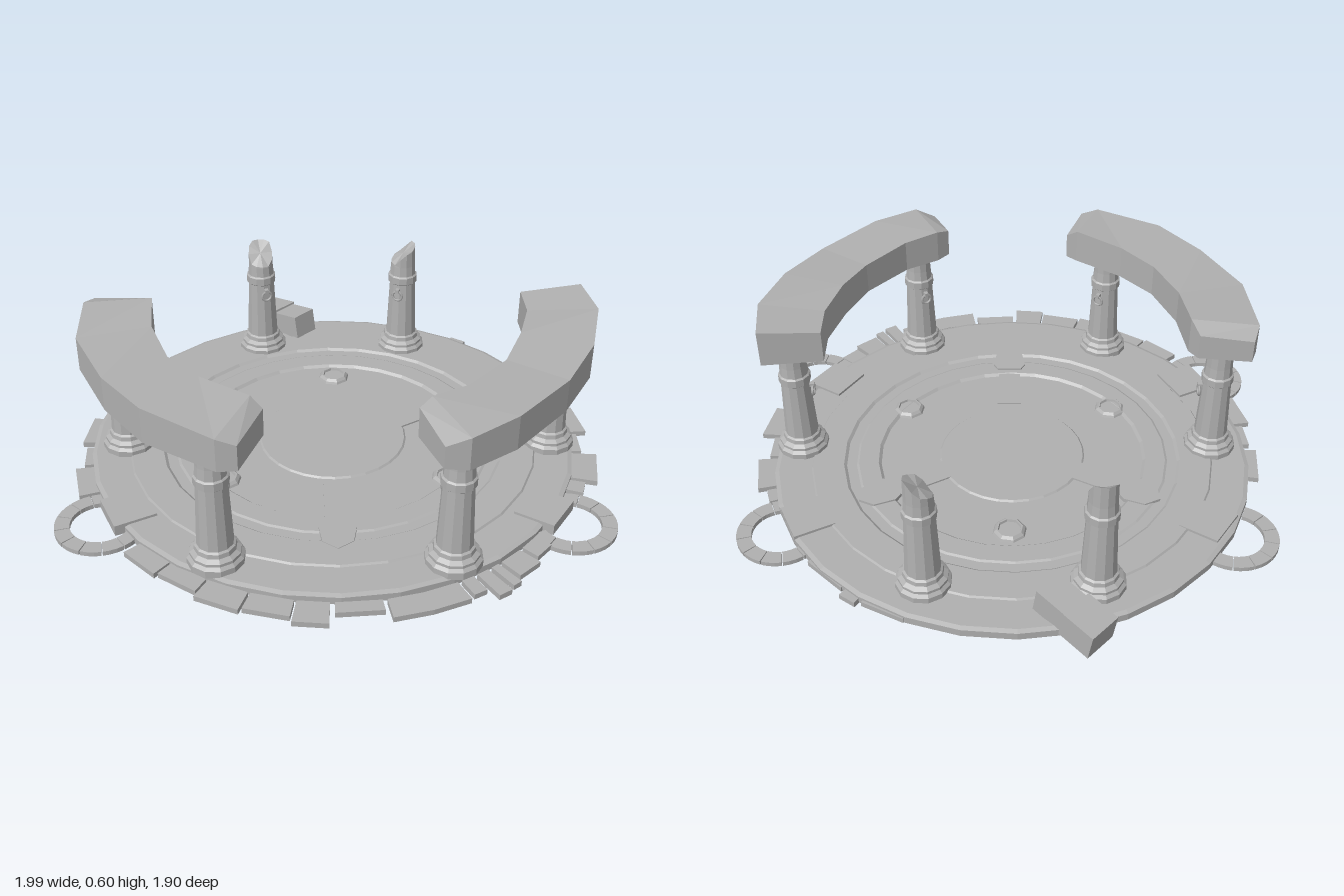
import * as THREE from 'three';
import { mergeGeometries } from 'three/addons/utils/BufferGeometryUtils.js';

const CZ = 0.04; // centre of the round floor
const rad = THREE.MathUtils.degToRad;
const stone = new THREE.MeshStandardMaterial({ color: 0xb0b0b0 });
stone.name = 'grey stone';

// Facetted copy of a geometry
function facet(geo) {
  const g = geo.index ? geo.toNonIndexed() : geo;
  g.deleteAttribute('uv');
  g.computeVertexNormals();
  return g;
}

function add(parent, name, geo) {
  const mesh = new THREE.Mesh(geo, stone);
  mesh.name = name;
  parent.add(mesh);
  return mesh;
}

// Closed curved block; each section is [degrees, inner radius, outer radius, bottom, inner top, outer top]
function arcBlock(sections, cx = 0, cz = CZ) {
  const rings = sections.map(([deg, ri, ro, b, ti, to]) => {
    const c = Math.cos(rad(deg)), s = Math.sin(rad(deg));
    return [[ri, b], [ro, b], [ro, to], [ri, ti]].map(([r, y]) => [cx + r * c, y, cz + r * s]);
  });
  const pos = [];
  const quad = (a, b, c, d) => pos.push(...a, ...b, ...c, ...a, ...c, ...d);
  for (let i = 0; i < rings.length - 1; i++) {
    for (let k = 0; k < 4; k++) {
      const n = (k + 1) % 4;
      quad(rings[i][k], rings[i][n], rings[i + 1][n], rings[i + 1][k]);
    }
  }
  const a = rings[0], z = rings[rings.length - 1];
  quad(a[3], a[2], a[1], a[0]);
  quad(z[0], z[1], z[2], z[3]);
  const g = new THREE.BufferGeometry();
  g.setAttribute('position', new THREE.Float32BufferAttribute(pos, 3));
  g.computeVertexNormals();
  return g;
}

// Plain arc stone of constant section
function arcStone(from, to, ri, ro, bottom, top, cx, cz) {
  const n = Math.max(1, Math.round((to - from) / 10));
  const sections = [];
  for (let i = 0; i <= n; i++) sections.push([from + (to - from) * i / n, ri, ro, bottom, top, top]);
  return arcBlock(sections, cx, cz);
}

// Flat extruded plate, drawn as [radial, sideways] points and turned to an angle on the floor
function plate(points, deg, bottom, top) {
  const shape = new THREE.Shape(points.map(([r, t]) => new THREE.Vector2(r, t)));
  const g = new THREE.ExtrudeGeometry(shape, { depth: top - bottom, bevelEnabled: false });
  return facet(g.rotateX(-Math.PI / 2).rotateY(-rad(deg)).translate(0, bottom, CZ));
}

function lathe(profile, sides) {
  return new THREE.LatheGeometry(profile.map(([r, y]) => new THREE.Vector2(r, y)), sides);
}

// Column with stepped base, band and an inward iron-style ring; slope breaks the top
function makeColumn(x, z, slope) {
  const column = new THREE.Group();
  column.name = slope ? 'brokenColumn' : 'column';
  const shaft = lathe([[0, 0.03], [0.092, 0.03], [0.092, 0.055], [0.082, 0.065], [0.082, 0.075],
    [0.068, 0.085], [0.066, 0.1], [0.059, 0.105], [0.05, 0.325], [0.056, 0.33], [0.056, 0.357],
    [0.05, 0.362], [0.047, 0.4], [0.046, 0.475], [0, 0.475]], 12);
  if (slope) {
    const p = shaft.attributes.position;
    for (let i = 0; i < p.count; i++) {
      if (p.getY(i) < 0.45) continue;
      const px = p.getX(i), pz = p.getZ(i);
      const chip = 0.008 * Math.sin(px * 90 + pz * 60);
      p.setY(i, Math.min(0.482, 0.445 + slope[0] * px + slope[1] * pz + chip));
    }
  }
  add(column, 'shaft', facet(shaft));
  const inward = Math.atan2(-x, CZ - z);
  const ring = new THREE.TorusGeometry(0.019, 0.005, 5, 10).translate(0, 0.285, 0.06);
  const peg = new THREE.BoxGeometry(0.014, 0.014, 0.03).translate(0, 0.306, 0.052);
  add(column, 'wallRing', mergeGeometries([ring, peg])).rotation.y = inward;
  column.position.set(x, 0, z);
  return column;
}

export function createModel() {
  const model = new THREE.Group();
  model.name = 'ruinedStoneCircle';

  // Stepped round floor with shallow rings
  add(model, 'floor', facet(lathe([[0, 0.004], [0.85, 0.004], [0.85, 0.03], [0.835, 0.035],
    [0.72, 0.035], [0.715, 0.041], [0.605, 0.041], [0.595, 0.033], [0.56, 0.033], [0.552, 0.037],
    [0.482, 0.037], [0.472, 0.028], [0.262, 0.028], [0.256, 0.034], [0, 0.034]], 30)));

  // Columns
  [[0.73, 0.22], [0.2, 0.75], [-0.51, 0.57], [-0.71, -0.12],
    [-0.12, -0.69, [0.15, -0.95]], [0.42, -0.56, [0.9, 0.15]]]
    .forEach(([x, z, slope]) => model.add(makeColumn(x, z, slope)));

  // Curved lintels across the standing pairs
  add(model, 'rightLintel', arcBlock([[123, 0.64, 0.83, 0.475, 0.565, 0.56], [127, 0.63, 0.85, 0.47, 0.595, 0.58],
    [145, 0.62, 0.85, 0.47, 0.59, 0.59], [160, 0.62, 0.84, 0.47, 0.585, 0.585],
    [178, 0.61, 0.85, 0.47, 0.59, 0.585], [195, 0.61, 0.84, 0.47, 0.6, 0.58],
    [200, 0.64, 0.82, 0.48, 0.57, 0.56]]));
  add(model, 'leftLintel', arcBlock([[6, 0.63, 0.84, 0.47, 0.585, 0.6], [18, 0.63, 0.86, 0.47, 0.585, 0.6],
    [33, 0.62, 0.85, 0.47, 0.59, 0.59], [48, 0.63, 0.84, 0.47, 0.58, 0.58],
    [66, 0.64, 0.85, 0.47, 0.585, 0.585], [78, 0.64, 0.86, 0.47, 0.59, 0.58],
    [82.5, 0.66, 0.83, 0.475, 0.575, 0.55]]));

  // Worn kerb stones: [from, to, outer radius]
  const kerb = [[-6, -2, 0.88], [-1, 9, 0.91], [10, 17, 0.87], [18, 28, 0.92], [29, 33, 0.88], [53, 58, 0.88],
    [59, 65, 0.9], [66, 68, 0.92], [69, 72, 0.93], [73, 76, 0.89], [77, 93, 0.9], [94, 104, 0.865],
    [105, 112, 0.91], [112.5, 122, 0.89], [122.5, 132, 0.9], [132.5, 142, 0.88], [142.5, 152, 0.89],
    [174, 184, 0.91], [185, 192, 0.88], [194, 204, 0.9], [205, 212, 0.865],
    [305, 315, 0.885], [316, 320, 0.9], [321, 332, 0.875]];
  const kerbGeo = kerb.map(([a, b, ro]) => arcStone(a, b, 0.82, ro, 0.003, 0.022));
  add(model, 'kerbStones', mergeGeometries(kerbGeo));

  // Horseshoe loops of small stones, each with a slab leading onto the floor
  for (const deg of [43.5, 163.7, 224, 344]) {
    const cx = 0.88 * Math.cos(rad(deg)), cz = CZ + 0.88 * Math.sin(rad(deg));
    const loop = new THREE.Group();
    loop.name = 'kerbLoop';
    const stones = [];
    for (let a = -126; a < 126; a += 28) {
      stones.push(arcStone(deg + a, deg + a + 26.5, 0.1, 0.15, 0.002, 0.018, cx, cz));
    }
    add(loop, 'loopStones', mergeGeometries(stones));
    add(loop, 'slab', plate([[0.71, -0.075], [0.85, -0.08], [0.86, 0.075], [0.715, 0.08]], deg, 0.006, 0.044));
    model.add(loop);
  }

  // Inlaid spokes with pointed heads
  for (const deg of [103, 223, 343]) {
    add(model, 'spoke', plate([[0.25, -0.045], [0.48, -0.04], [0.48, 0.04], [0.25, 0.045]], deg, 0.02, 0.034));
    add(model, 'spokeHead', plate([[0.46, -0.045], [0.49, -0.062], [0.565, -0.05], [0.6, 0],
      [0.565, 0.05], [0.49, 0.062], [0.46, 0.045]], deg, 0.02, 0.043));
  }

  // Small sockets with a raised octagonal rim
  for (const deg of [43, 163, 283]) {
    const socket = add(model, 'socket', facet(lathe([[0.06, 0.025], [0.055, 0.036], [0.046, 0.045],
      [0.04, 0.045], [0.038, 0.036], [0, 0.036]], 8)));
    socket.position.set(0.44 * Math.cos(rad(deg)), 0, CZ + 0.44 * Math.sin(rad(deg)));
  }

  // Fallen block lying over the rim
  const block = new THREE.Group();
  block.name = 'fallenBlock';
  add(block, 'blockEnd', new THREE.BoxGeometry(0.105, 0.09, 0.13)).position.set(0, -0.003, 0.05);
  add(block, 'blockBody', new THREE.BoxGeometry(0.118, 0.1, 0.12)).position.z = -0.06;
  block.rotation.set(-0.16, 0.585, 0, 'YXZ');
  block.position.set(0, 0.071, -0.825);
  model.add(block);

  return model;
}
